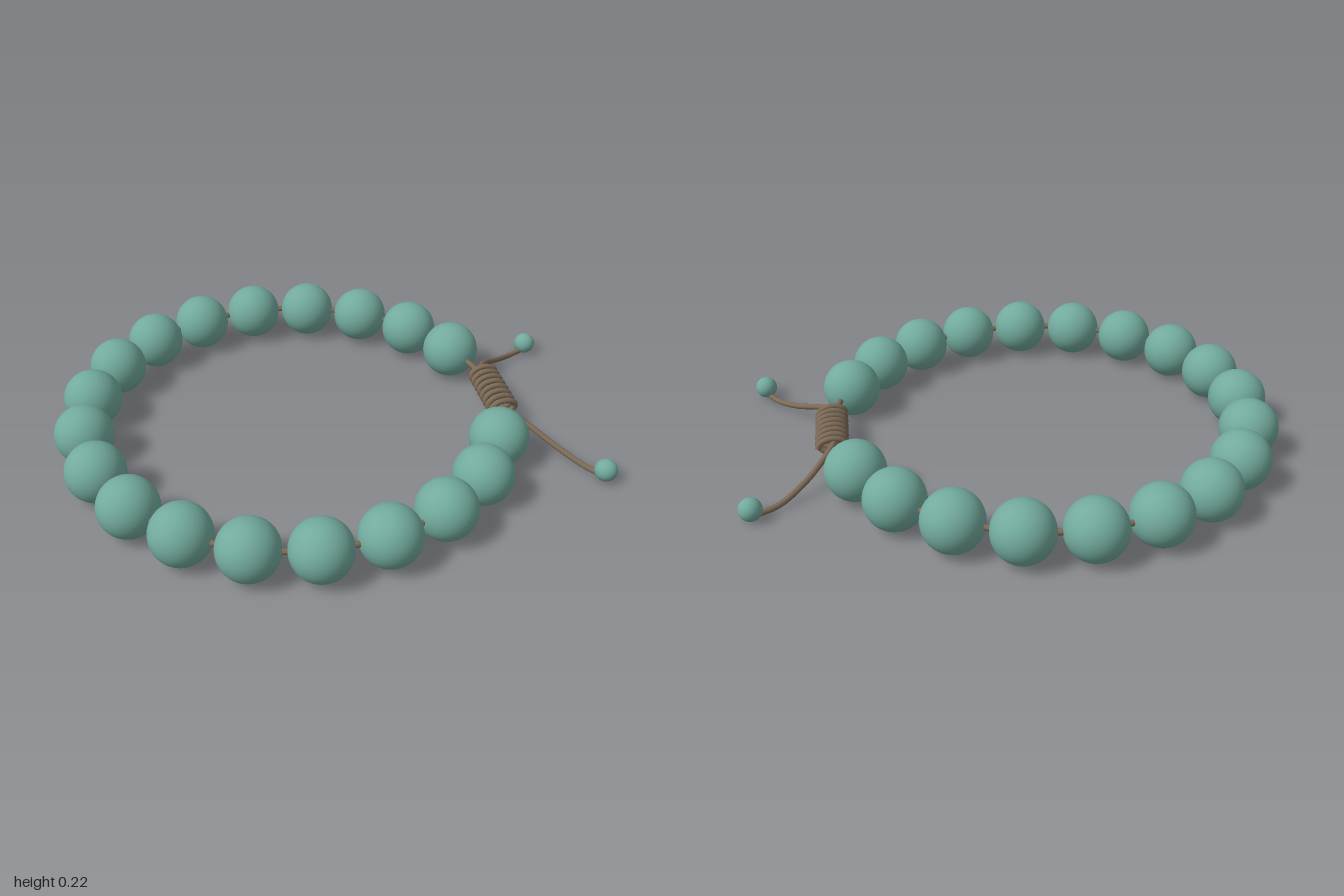
import * as THREE from 'three';

export function createModel() {
  const group = new THREE.Group();
  group.name = 'beadedBracelet';

  const jade = new THREE.MeshStandardMaterial({ color: 0x72aa9d });
  jade.name = 'jade green';
  const twine = new THREE.MeshStandardMaterial({ color: 0x7c6a56 });
  twine.name = 'brown cord';

  const add = (geometry, material, name, position) => {
    const mesh = new THREE.Mesh(geometry, material);
    mesh.name = name;
    if (position) mesh.position.set(...position);
    group.add(mesh);
  };
  const cord = (points, name, segments, radius = 0.011) => {
    const curve = new THREE.CatmullRomCurve3(points.map((p) => new THREE.Vector3(...p)));
    add(new THREE.TubeGeometry(curve, segments, radius, 10), twine, name);
  };

  // Ring of nineteen beads, open on the +x side
  const ringX = -0.12, ringR = 0.775, y = 0.114, step = THREE.MathUtils.degToRad(17.4);
  const onRing = (k) => [ringX - ringR * Math.cos(k * step), y, ringR * Math.sin(k * step)];
  const beadGeometry = new THREE.SphereGeometry(0.11, 40, 28);
  for (let k = -9; k <= 9; k++) add(beadGeometry, jade, 'bead', onRing(k));

  // Cord strung through the beads and closed through the knot
  const strung = [];
  for (let k = -9; k <= 9; k++) strung.push(onRing(k));
  cord([[0.655, 0.105, 0], [0.655, 0.105, -0.13], [0.636, 0.11, -0.2], ...strung,
    [0.64, 0.11, 0.2], [0.655, 0.105, 0.13], [0.655, 0.105, 0]], 'beadCord', 240);

  // Sliding knot: flattened coil wrapped around the cord
  const turns = 7.5, coil = [];
  for (let i = 0; i <= turns * 16; i++) {
    const a = (i / 16) * Math.PI * 2;
    coil.push([0.672 + 0.051 * Math.cos(a), 0.103 + 0.033 * Math.sin(a), -0.128 + 0.26 * i / (turns * 16)]);
  }
  cord(coil, 'knotCoil', 240);

  // Two loose tails drooping to the ground, each with a small end bead
  const tails = [
    [[0.66, 0.108, 0.05], [0.66, 0.118, 0.13], [0.72, 0.095, 0.2], [0.815, 0.045, 0.315], [0.89, 0.018, 0.415], [0.941, 0.018, 0.49]],
    [[0.66, 0.108, -0.05], [0.665, 0.122, -0.13], [0.705, 0.1, -0.2], [0.77, 0.058, -0.27], [0.86, 0.022, -0.345], [0.953, 0.018, -0.396]],
  ];
  const endGeometry = new THREE.SphereGeometry(0.042, 28, 20);
  for (const tail of tails) {
    cord(tail, 'cordTail', 48);
    const [x, , z] = tail[tail.length - 1];
    add(endGeometry, jade, 'endBead', [x, 0.047, z]);
  }
  return group;
}
